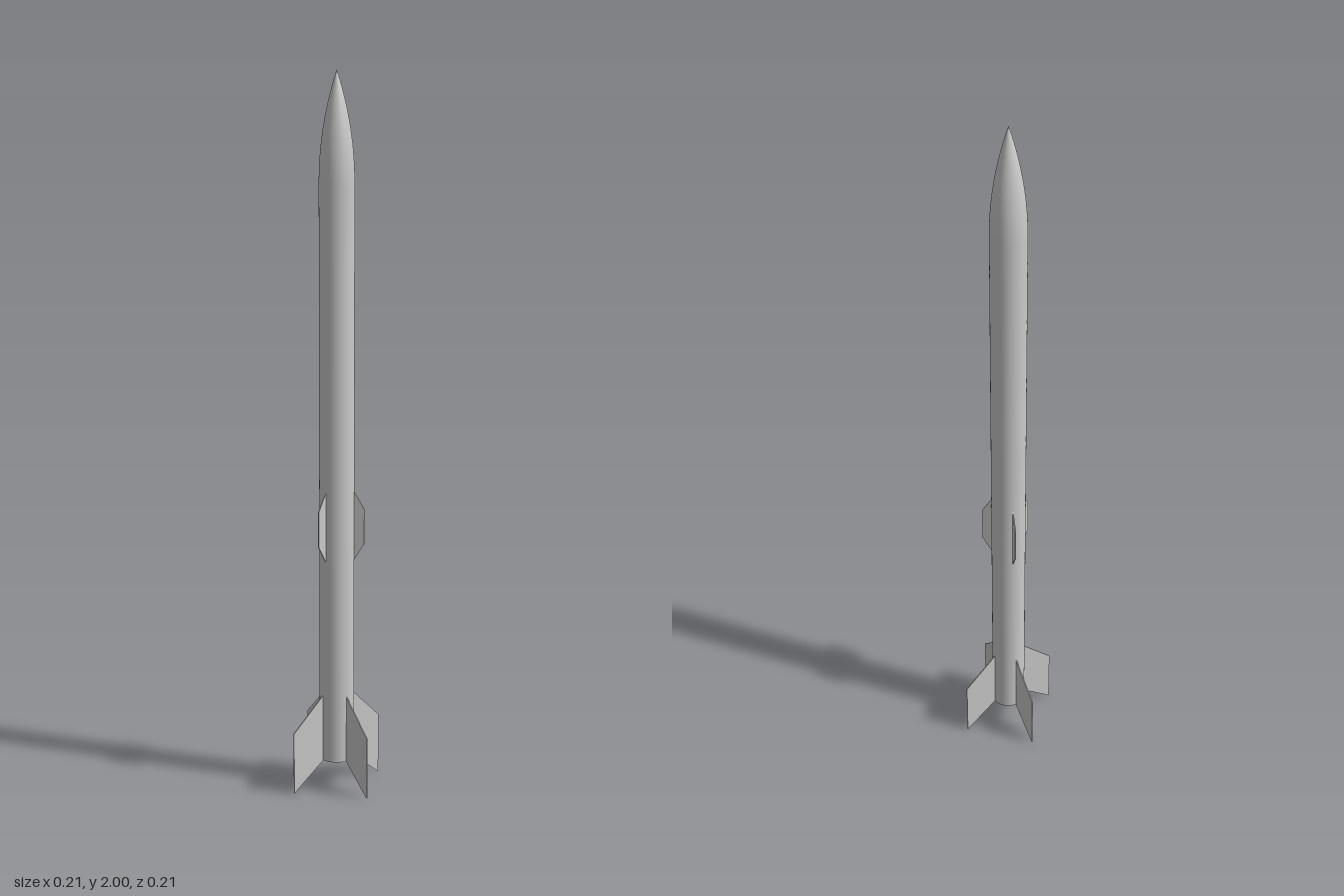
import * as THREE from 'three';

const R = 0.049; // body radius
const grey = new THREE.MeshStandardMaterial({ color: 0xcccccc });

function lathe(name, points, material = grey) {
  const profile = points.map(([r, y]) => new THREE.Vector2(r, y));
  const mesh = new THREE.Mesh(new THREE.LatheGeometry(profile, 48), material);
  mesh.name = name;
  return mesh;
}

// Thin plates spaced evenly around the body; corners are [radius, height]
function finSet(name, corners, count, startAngle, thickness) {
  const shape = new THREE.Shape(corners.map(([r, y]) => new THREE.Vector2(r, y)));
  const geometry = new THREE.ExtrudeGeometry(shape, { depth: thickness, bevelEnabled: false });
  geometry.translate(0, 0, -thickness / 2);
  const set = new THREE.Group();
  set.name = name + 's';
  for (let i = 0; i < count; i++) {
    const fin = new THREE.Mesh(geometry, grey);
    fin.name = name;
    fin.rotation.y = startAngle + (i * 2 * Math.PI) / count;
    set.add(fin);
  }
  return set;
}

export function createModel() {
  const model = new THREE.Group();
  model.name = 'rocket';

  // Body tube
  const body = new THREE.Mesh(new THREE.CylinderGeometry(R, R, 1.612, 48, 1, true), grey);
  body.name = 'bodyTube';
  body.position.y = 0.078 + 1.612 / 2;
  model.add(body);

  // Tail: rim, inner wall and recessed centring ring
  const rim = new THREE.Mesh(new THREE.RingGeometry(0.046, R, 48), grey);
  rim.name = 'tailRim';
  rim.rotation.x = Math.PI / 2;
  rim.position.y = 0.078;
  const inside = grey.clone();
  inside.side = THREE.DoubleSide;
  model.add(rim);
  model.add(lathe('tailRecess', [[0.046, 0.078], [0.046, 0.09], [0.022, 0.09]], inside));

  // Motor tube with a closed inner end
  model.add(lathe('motorTube', [[0.022, 0.09], [0.022, 0.078], [0.019, 0.078], [0.019, 0.16], [0, 0.16]], inside));

  // Nose cone: short straight collar, then a tangent ogive
  const base = 1.7, length = 2 - base;
  const rho = (R * R + length * length) / (2 * R);
  const nose = [[R, 1.69]];
  for (let i = 0; i <= 24; i++) {
    const h = (length * i) / 24;
    nose.push([Math.max(0, Math.sqrt(rho * rho - h * h) + R - rho), base + h]);
  }
  model.add(lathe('noseCone', nose));

  // Four swept tail fins on the diagonals
  model.add(finSet('tailFin',
    [[R - 0.002, 0.078], [0.147, 0], [0.147, 0.175], [R - 0.002, 0.27]], 4, Math.PI / 4, 0.003));

  // Three small fins at mid body
  model.add(finSet('midFin',
    [[R - 0.002, 0.655], [0.078, 0.705], [0.078, 0.805], [R - 0.002, 0.857]], 3, 0, 0.003));

  return model;
}
